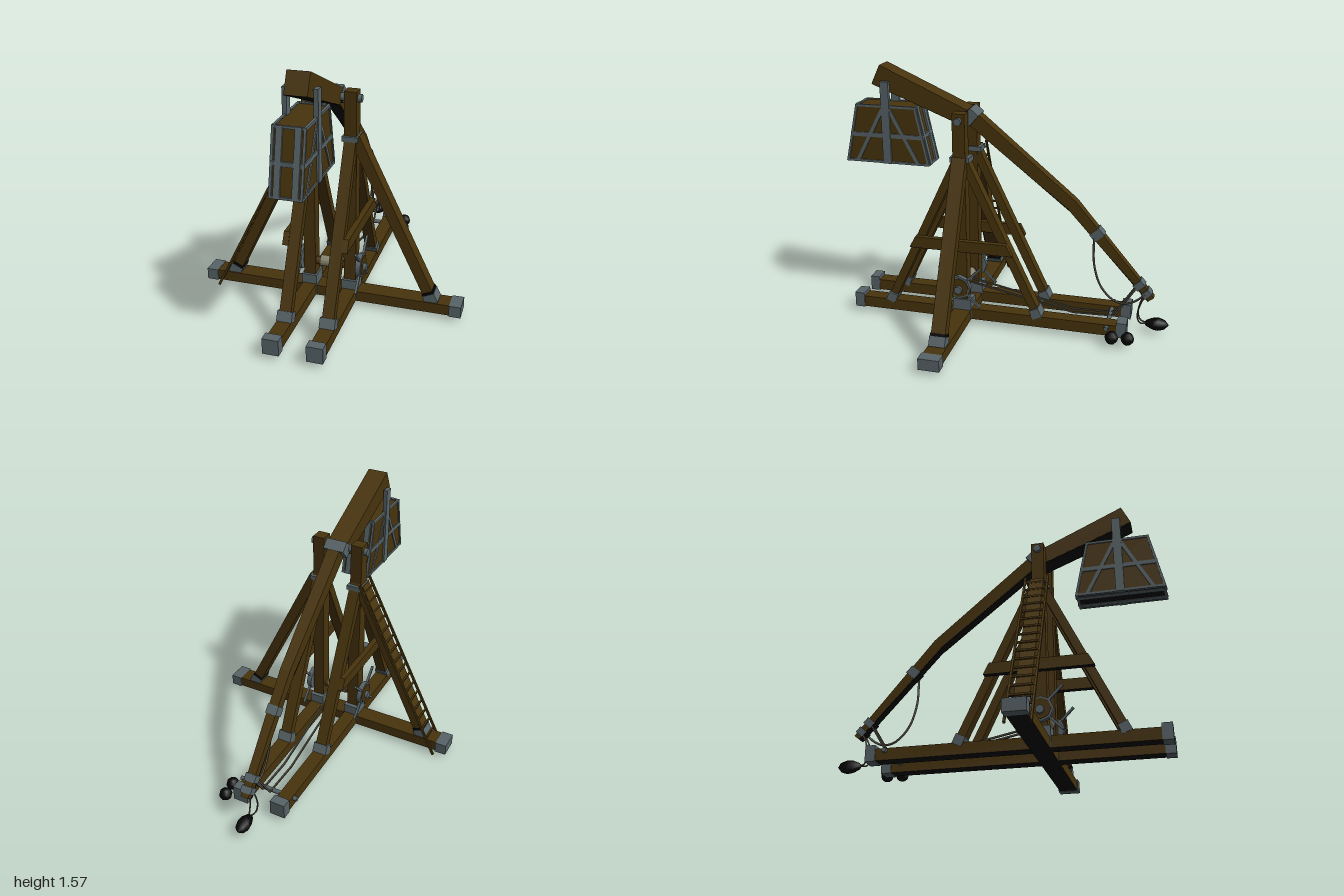
import * as THREE from 'three';

const mat = (name, color) => {
  const m = new THREE.MeshStandardMaterial({ color });
  m.name = name;
  return m;
};

export function createModel() {
  const root = new THREE.Group();
  root.name = 'siegeEngine';
  const wood = mat('wood', 0x48340d);
  const iron = mat('iron', 0x586468);
  const pitch = mat('pitch', 0x040404);
  const rope = mat('rope', 0x4c493c);
  const coil = mat('ropeCoil', 0x86856e);
  const V = (x, y, z) => new THREE.Vector3(x, y, z);

  const add = (name, geo, material) => {
    const m = new THREE.Mesh(geo, material);
    m.name = name;
    root.add(m);
    return m;
  };
  const box = (name, material, w, h, d, x, y, z) =>
    add(name, new THREE.BoxGeometry(w, h, d).translate(x, y, z), material);

  // Box material lists with a tarred bottom (-y) or back (-z) face
  const tarBottom = m => [m, m, m, pitch, m, m];
  const tarBack = m => [m, m, m, m, m, pitch];

  // Square bar from a to b; "side" is the axis along which width is measured
  const bar = (name, material, a, b, width, thick, side = V(1, 0, 0)) => {
    const dir = b.clone().sub(a);
    const len = dir.length();
    dir.normalize();
    const n = side.clone().cross(dir).normalize();
    const s = dir.clone().cross(n);
    const m = new THREE.Matrix4().makeBasis(s, dir, n);
    m.setPosition(a.clone().add(b).multiplyScalar(0.5));
    return add(name, new THREE.BoxGeometry(width, len, thick).applyMatrix4(m), material);
  };

  // Side profile in (z, y), extruded across x and centred on x = 0
  const slab = (name, material, pts, width) => {
    const shape = new THREE.Shape(pts.map(p => new THREE.Vector2(p[0], p[1])));
    const geo = new THREE.ExtrudeGeometry(shape, { depth: width, bevelEnabled: false });
    geo.translate(0, 0, -width / 2).rotateY(-Math.PI / 2);
    return add(name, geo, material);
  };
  const rod = (name, material, r, len, x, y, z, sides = 8) =>
    add(name, new THREE.CylinderGeometry(r, r, len, sides).rotateZ(Math.PI / 2).translate(x, y, z), material);
  const cord = (name, pts, r = 0.007) => {
    const curve = new THREE.CatmullRomCurve3(pts.map(p => V(...p)));
    return add(name, new THREE.TubeGeometry(curve, 24, r, 5), rope);
  };

  const Z = 0.255; // plane of the uprights
  const AZ = V(0, 0, 1);

  // Cross beam of the base
  box('crossBeam', tarBottom(wood), 1.5, 0.064, 0.11, 0, 0.068, Z);

  for (const s of [-1, 1]) {
    const x = s * 0.125;
    // Base rails and caps
    box('baseRail', tarBottom(wood), 0.085, 0.07, 1.68, x, 0.076, 0.105);
    box('railFrontCap', iron, 0.095, 0.095, 0.06, x, 0.085, 0.937);
    box('railRearCap', iron, 0.095, 0.095, 0.06, x, 0.085, -0.729);
    box('crossBeamCap', iron, 0.07, 0.07, 0.125, s * 0.762, 0.068, Z);

    // Uprights with collars
    box('upright', wood, 0.072, 1.26, 0.076, x, 0.706, Z + 0.005);
    box('uprightFoot', tarBottom(iron), 0.092, 0.13, 0.118, x, 0.105, Z);
    box('uprightBand', iron, 0.092, 0.03, 0.118, x, 1.064, Z);

    // Sideways brace
    const top = V(s * 0.15, 1.07, Z), foot = V(s * 0.625, 0.09, Z);
    bar('sideBrace', wood, top, foot, 0.085, 0.062, AZ);
    bar('sideBraceFoot', iron, top.clone().lerp(foot, 0.945), foot, 0.097, 0.075, AZ);
    bar('sideBraceTar', pitch, top.clone().lerp(foot, 0.93), top.clone().lerp(foot, 0.945), 0.092, 0.069, AZ);

    // Fore and aft braces
    for (const d of [-1, 1]) {
      const t = V(x, 1.08, Z + d * 0.01), f = V(x, 0.1, Z + d * 0.475);
      bar('longBrace', wood, t, f, 0.068, 0.05);
      bar('longBraceFoot', iron, t.clone().lerp(f, 0.945), f, 0.09, 0.06);
    }

    // Horizontal tie plank
    slab('tiePlank', wood, [[Z - 0.32, 0.497], [Z + 0.32, 0.497], [Z + 0.285, 0.565], [Z - 0.285, 0.565]], 0.035)
      .position.x = s * 0.173;
    box('tiePlankBottom', pitch, 0.034, 0.004, 0.636, s * 0.173, 0.496, Z);

    // Winch wheel
    rod('winchHub', iron, 0.075, 0.03, s * 0.182, 0.26, 0.265);
    rod('winchHubFace', wood, 0.062, 0.006, s * 0.198, 0.26, 0.265);
    rod('winchAxleEnd', iron, 0.025, 0.06, s * 0.19, 0.25, 0.265);
    for (const a of [Math.PI / 4, -Math.PI / 4]) {
      const c = Math.cos(a) * 0.182, q = Math.sin(a) * 0.182;
      bar('winchSpoke', iron, V(s * 0.186, 0.262 - c, 0.262 - q), V(s * 0.186, 0.262 + c, 0.262 + q), 0.014, 0.014);
    }
  }

  // Winch drum
  rod('winchAxle', wood, 0.026, 0.36, 0, 0.25, 0.265);
  rod('winchCoil', coil, 0.034, 0.125, 0, 0.252, 0.265, 10);

  // Ladder leaning on the right side
  const lb = V(-0.718, 0.008, Z), lt = V(-0.168, 1.1, Z);
  for (const d of [-0.068, 0.068]) {
    bar('ladderRail', wood, lb.clone().setZ(Z + d), lt.clone().setZ(Z + d), 0.012, 0.014, AZ);
  }
  for (let i = 0; i < 17; i++) {
    const p = lb.clone().lerp(lt, (i + 0.8) / 17.6);
    box('ladderRung', wood, 0.011, 0.011, 0.135, p.x, p.y, Z);
  }

  // Throwing arm: heavy short end and tapered long end, tarred underneath
  slab('armShortEnd', wood, [[0.77, 1.577], [0.823, 1.465], [0.27, 1.248], [0.235, 1.338]], 0.124);
  bar('armShortUnderside', pitch, V(0, 1.463, 0.82), V(0, 1.249, 0.275), 0.122, 0.005);
  const arm = slab('armLongEnd', wood,
    [[0.2, 1.33], [-0.415, 0.82], [-0.9, 0.25], [-0.868, 0.225], [-0.372, 0.767], [0.235, 1.25]], 0.08);
  const ap = arm.geometry.attributes.position;
  for (let i = 0; i < ap.count; i++) ap.setX(i, ap.getX(i) * (0.92 + 0.08 * ap.getZ(i) / 0.235));
  arm.geometry.computeVertexNormals();
  bar('armLongUnderside', pitch, V(0, 1.249, 0.235), V(0, 0.766, -0.372), 0.068, 0.005);
  bar('armTipUnderside', pitch, V(0, 0.766, -0.372), V(0, 0.225, -0.867), 0.056, 0.005);

  // Pivot and arm bands
  rod('armAxle', iron, 0.023, 0.365, 0, 1.293, 0.26, 10);
  bar('armHub', tarBack(iron), V(0, 1.318, 0.245), V(0, 1.275, 0.195), 0.13, 0.085);
  const dir = V(0, -0.55, -0.49).normalize();
  for (const [y, z, len, t] of [[0.622, -0.545, 0.055, 0.072], [0.322, -0.808, 0.045, 0.06], [0.27, -0.855, 0.04, 0.055]]) {
    const c = V(0, y, z);
    bar('armBand', tarBack(iron), c.clone().addScaledVector(dir, -len / 2), c.clone().addScaledVector(dir, len / 2), 0.068, t);
  }

  // Counterweight box
  const CZ = 0.734, Y0 = 0.985, Y1 = 1.342;
  const half = y => 0.266 - 0.078 * (y - Y0) / (Y1 - Y0);
  slab('counterweightBox', wood, [[CZ - 0.256, 0.99], [CZ + 0.256, 0.99], [CZ + 0.181, 1.335], [CZ - 0.181, 1.335]], 0.166);
  box('counterweightBottom', pitch, 0.164, 0.006, 0.51, 0, 0.989, CZ);
  const E = 0.083, e = 0.014;
  for (const y of [Y0 + 0.007, Y1 - 0.007, 1.157]) {
    const t = y === 1.157 ? 0.026 : e;
    const h = half(y) - 0.007;
    for (const s of [-1, 1]) {
      box('boxSideBand', iron, e, t, 2 * h + 0.014, s * E, y, CZ);
      box('boxEndBand', iron, 2 * E, t, e, 0, y, CZ + s * h);
    }
  }
  for (const s of [-1, 1]) {
    for (const d of [-1, 1]) {
      const hT = half(Y1) - 0.006, hB = half(Y0) - 0.006;
      bar('boxCornerBand', iron, V(s * E, Y0, CZ + d * hB), V(s * E, Y1, CZ + d * hT), e, e);
      bar('boxStrap', iron, V(s * 0.049, Y0, CZ + d * hB), V(s * 0.049, Y1, CZ + d * hT), 0.034, 0.018);
      bar('boxDiagonal', iron, V(s * 0.084, 1.335, CZ + d * 0.012), V(s * 0.084, 0.99, CZ + d * 0.195), 0.012, 0.022);
    }
    box('boxBottomStrap', iron, 0.034, 0.01, 0.52, s * 0.049, Y0 + 0.004, CZ);
    box('boxHanger', iron, 0.025, 0.5, 0.052, s * 0.083, 1.235, CZ);
  }

  // Hauling rope: winch, rear roller, arm
  rod('rearRoller', iron, 0.014, 0.385, 0, 0.095, -0.64);
  for (const s of [-1, 1]) {
    const x = s * 0.025;
    bar('haulingRope', rope, V(x, 0.228, 0.25), V(x, 0.095, -0.42), 0.01, 0.01);
    bar('haulingRope', rope, V(x, 0.096, -0.42), V(x, 0.105, -0.67), 0.01, 0.01);
    bar('haulingRope', rope, V(x, 0.105, -0.67), V(x, 0.315, -0.8), 0.01, 0.01);
    cord('slingRope', [[x, 0.26, -0.85], [x, 0.2, -0.822], [x, 0.12, -0.808], [x * 0.8, 0.075, -0.825], [0, 0.068, -0.87]], 0.005);
  }
  cord('slackRope', [[0.03, 0.6, -0.528], [0.035, 0.43, -0.537], [0.035, 0.29, -0.585], [0.03, 0.205, -0.67],
    [0.03, 0.2, -0.75], [0.03, 0.235, -0.81], [0.03, 0.27, -0.845]]);

  // Loaded projectile, and spare stones
  const profile = [[0, -0.075], [0.02, -0.06], [0.038, -0.02], [0.042, 0.012], [0.03, 0.05], [0, 0.075]]
    .map(p => new THREE.Vector2(p[0], p[1]));
  const shot = new THREE.LatheGeometry(profile, 8).rotateX(-Math.PI / 2).translate(-0.005, 0.066, -0.922);
  add('slingStone', shot, pitch);
  for (const [x, z] of [[0.23, -0.68], [0.22, -0.773]]) {
    add('spareStone', new THREE.SphereGeometry(0.04, 8, 6).translate(x, 0.065, z), pitch);
  }

  return root;
}
